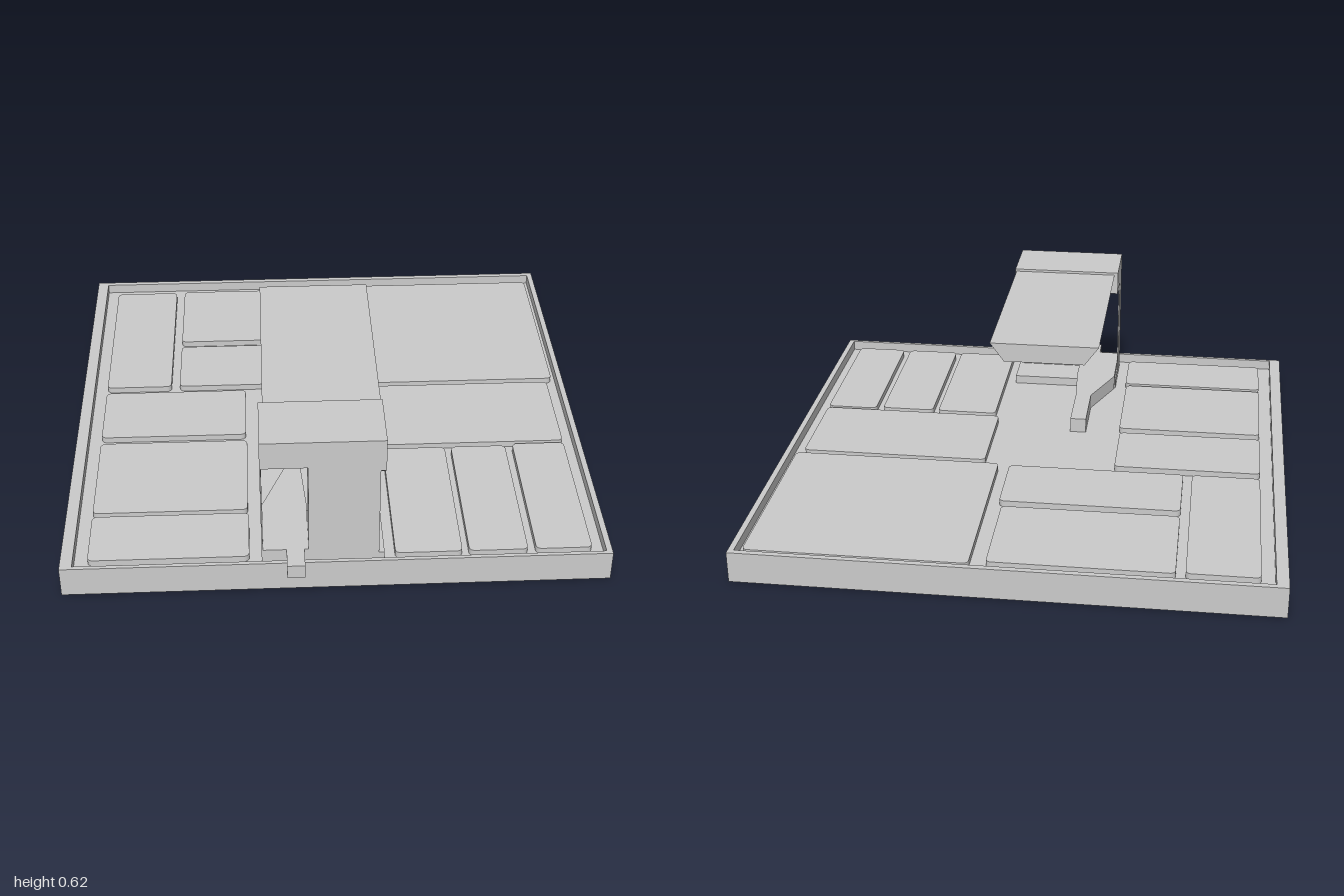
import * as THREE from 'three';

const material = new THREE.MeshStandardMaterial({ color: 0xcccccc, flatShading: true });

const FLOOR = 0.08, RIM = 0.12, PAD = 0.105;

function polygon(points) {
  return new THREE.Shape(points.map(([a, b]) => new THREE.Vector2(a, b)));
}

function rectangle(x0, x1, z0, z1) {
  return polygon([[x0, z0], [x1, z0], [x1, z1], [x0, z1]]);
}

function roundedRectangle(x0, x1, z0, z1, r) {
  const s = new THREE.Shape();
  s.absarc(x1 - r, z1 - r, r, 0, Math.PI / 2);
  s.absarc(x0 + r, z1 - r, r, Math.PI / 2, Math.PI);
  s.absarc(x0 + r, z0 + r, r, Math.PI, Math.PI * 1.5);
  s.absarc(x1 - r, z0 + r, r, Math.PI * 1.5, Math.PI * 2);
  s.closePath();
  return s;
}

export function createModel() {
  const model = new THREE.Group();

  function add(parent, name, geometry) {
    const mesh = new THREE.Mesh(geometry, material);
    mesh.name = name;
    parent.add(mesh);
    return mesh;
  }

  function group(name) {
    const g = new THREE.Group();
    g.name = name;
    model.add(g);
    return g;
  }

  // Box given by its limits
  function box(parent, name, x0, x1, y0, y1, z0, z1) {
    const g = new THREE.BoxGeometry(x1 - x0, y1 - y0, z1 - z0);
    g.translate((x0 + x1) / 2, (y0 + y1) / 2, (z0 + z1) / 2);
    return add(parent, name, g);
  }

  // Plan outline (x, z) extruded between two heights
  function plate(parent, name, shape, y0, y1) {
    const g = new THREE.ExtrudeGeometry(shape, { depth: y1 - y0, bevelEnabled: false, curveSegments: 5 });
    g.rotateX(Math.PI / 2).translate(0, y1, 0);
    return add(parent, name, g);
  }

  // Side outline (z, y) extruded between two x positions
  function sidePanel(parent, name, points, x0, x1) {
    const g = new THREE.ExtrudeGeometry(polygon(points), { depth: x1 - x0, bevelEnabled: false });
    g.rotateY(-Math.PI / 2).translate(x1, 0, 0);
    return add(parent, name, g);
  }

  // Shallow tray with a raised rim
  const tray = group('tray');
  box(tray, 'trayFloor', -1, 0.995, 0, FLOOR, -1, 0.96);
  const rim = rectangle(-1, 0.995, -1, 0.96);
  rim.holes.push(rectangle(-0.955, 0.973, -0.978, 0.945));
  plate(tray, 'trayRim', rim, FLOOR, RIM);

  // Rounded pads: x0, x1, z0, z1
  const pads = group('pads');
  [
    [-0.905, -0.64, -0.92, -0.18],
    [-0.605, 0.07, -0.925, -0.515],
    [-0.605, 0.085, -0.475, -0.18],
    [0.13, 0.955, -0.945, -0.17],
    [-0.905, -0.33, -0.14, 0.165],
    [-0.905, -0.325, 0.205, 0.635],
    [-0.905, -0.32, 0.655, 0.9],
    [0.19, 0.93, -0.145, 0.26],
    [0.21, 0.455, 0.285, 0.905],
    [0.48, 0.695, 0.285, 0.905],
    [0.725, 0.93, 0.275, 0.905],
  ].forEach((p) => plate(pads, 'pad', roundedRectangle(...p, 0.02), FLOOR, PAD));

  // Tower: foot, main leg, thin side wall, head
  const tower = group('tower');
  box(tower, 'foot', -0.275, 0.17, FLOOR, 0.115, 0.66, 0.91);
  box(tower, 'mainLeg', -0.105, 0.15, 0.115, 0.52, 0.805, 0.91);
  box(tower, 'thinLeg', -0.275, -0.27, 0.115, 0.51, 0.805, 0.91);
  sidePanel(tower, 'head', [[0.665, 0.525], [0.805, 0.525], [0.805, 0.51], [0.91, 0.51], [0.91, 0.62], [0.665, 0.62]], -0.275, 0.17);
  sidePanel(tower, 'sideBracket', [[0.805, 0.405], [0.91, 0.49], [0.91, 0.51], [0.805, 0.51]], 0.15, 0.17);

  // Overhanging arm with sides sloping inward below
  const arm = new THREE.ExtrudeGeometry(
    polygon([[-0.205, 0.535], [0.11, 0.535], [0.165, 0.61], [-0.26, 0.61]]),
    { depth: 0.8, bevelEnabled: false });
  arm.translate(0, 0, -0.135);
  add(tower, 'overhangArm', arm);

  // Walkway that narrows to a strip, with a tab over the front rim
  const walkway = group('walkway');
  plate(walkway, 'walkwayDeck', polygon([
    [-0.185, 0.2], [-0.12, 0.2], [-0.12, 0.44], [-0.105, 0.65], [-0.105, 0.91],
    [-0.27, 0.91], [-0.27, 0.65], [-0.185, 0.44],
  ]), FLOOR, 0.14);
  box(walkway, 'walkwayBridge', -0.185, -0.12, 0.115, 0.14, 0.91, 0.965);
  box(walkway, 'frontTab', -0.185, -0.12, 0.085, 0.14, 0.96, 1);

  return model;
}
